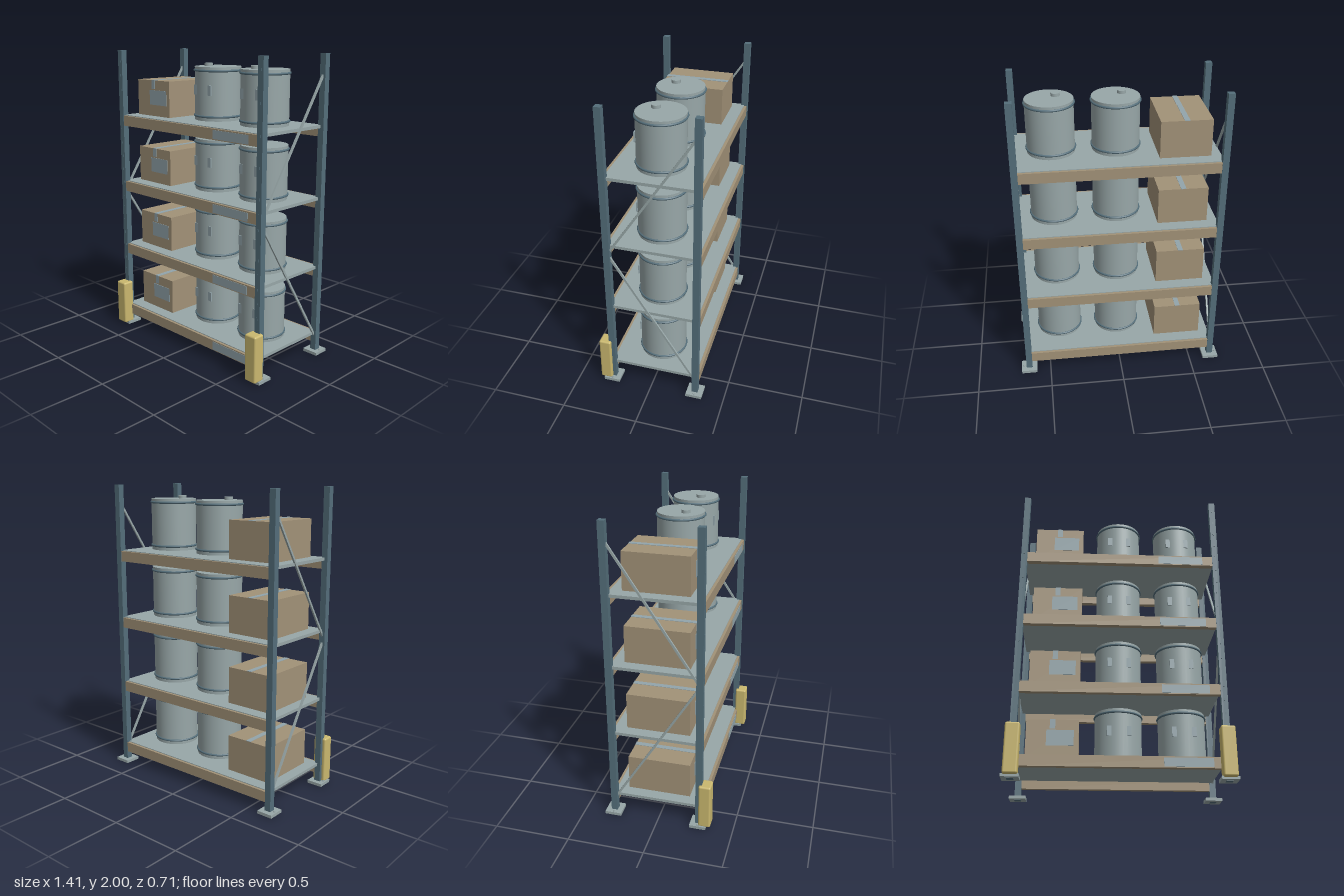
import * as THREE from 'three';
import { RoundedBoxGeometry } from 'three/addons/geometries/RoundedBoxGeometry.js';

const mat = (name, color) => new THREE.MeshStandardMaterial({ name, color });

export function createModel() {
  const steelBlue = mat('steel blue', 0x546e7a);
  const paleSteel = mat('pale steel', 0x98a7a8);
  const cardboard = mat('cardboard tan', 0xa29278);
  const labelGrey = mat('label grey', 0x93a5ab);
  const guardYellow = mat('guard yellow', 0xcab86f);

  const model = new THREE.Group();
  model.name = 'storageRack';

  const add = (parent, name, geometry, material, x, y, z) => {
    const mesh = new THREE.Mesh(geometry, material);
    mesh.name = name;
    mesh.position.set(x, y, z);
    parent.add(mesh);
    return mesh;
  };
  const box = (w, h, d) => new THREE.BoxGeometry(w, h, d);
  const cyl = (r, h, n = 40) => new THREE.CylinderGeometry(r, r, h, n);

  const postX = 0.649, frontZ = 0.272, backZ = -0.302, midZ = -0.015;
  const depth = frontZ - backZ;

  // Diagonal bar between two (y, z) points on a side frame
  const brace = (parent, x, y0, z0, y1, z1) => {
    const dy = y1 - y0, dz = z1 - z0;
    const bar = add(parent, 'brace', box(0.012, Math.hypot(dy, dz), 0.014), paleSteel,
      x, (y0 + y1) / 2, (z0 + z1) / 2);
    bar.rotation.x = Math.atan2(dz, dy);
  };

  // Side frames: posts, feet, braces and front guards
  for (const side of [-1, 1]) {
    const frame = new THREE.Group();
    frame.name = side > 0 ? 'leftFrame' : 'rightFrame';
    model.add(frame);
    const x = side * postX;
    for (const z of [frontZ, backZ]) {
      add(frame, 'post', box(0.042, 2, 0.042), steelBlue, x, 1, z);
      add(frame, 'footPlate', box(0.108, 0.02, 0.108), paleSteel, x, 0.012, z);
      add(frame, 'anchorBolt', cyl(0.008, 0.006, 12), paleSteel, x + side * 0.038, 0.025, z);
    }
    // Row of slots up the front post
    for (let y = 0.42; y < 1.95; y += 0.094) {
      add(frame, 'postSlot', box(0.009, 0.016, 0.004), steelBlue, x, y, frontZ + 0.0215);
    }
    brace(frame, x, 1.02, frontZ, 1.89, backZ);
    brace(frame, x, 1.02, frontZ, 0.105, backZ);
    add(frame, 'postGuard', new RoundedBoxGeometry(0.09, 0.312, 0.08, 3, 0.012), guardYellow,
      side * 0.647, 0.171, 0.314);
  }

  // Carton with tape and a shipping label
  const addCarton = (parent) => {
    const carton = new THREE.Group();
    carton.name = 'carton';
    carton.position.set(-0.416, 0.004, midZ);
    parent.add(carton);
    add(carton, 'cartonBody', box(0.326, 0.242, 0.416), cardboard, 0, 0.121, 0);
    add(carton, 'topTape', box(0.034, 0.003, 0.418), labelGrey, 0, 0.243, 0);
    add(carton, 'frontTape', box(0.034, 0.06, 0.003), labelGrey, 0, 0.2145, 0.209);
    add(carton, 'cartonLabel', box(0.17, 0.1, 0.004), labelGrey, 0.048, 0.126, 0.209);
  };

  // Drum with two hoops, filler cap and front plate
  const addDrum = (parent, x) => {
    const drum = new THREE.Group();
    drum.name = 'drum';
    drum.position.set(x, 0.004, midZ);
    parent.add(drum);
    add(drum, 'drumBody', cyl(0.153, 0.346), paleSteel, 0, 0.173, 0);
    for (const y of [0.028, 0.322]) {
      const hoop = add(drum, 'drumHoop', new THREE.TorusGeometry(0.154, 0.0075, 8, 40), steelBlue, 0, y, 0);
      hoop.rotation.x = Math.PI / 2;
    }
    add(drum, 'fillerCap', cyl(0.029, 0.02, 20), paleSteel, -0.043, 0.356, 0.043);
    add(drum, 'drumPlate', box(0.156, 0.064, 0.008), labelGrey, 0, 0.198, 0.141);
  };

  // Four loaded shelves
  for (let i = 0; i < 4; i++) {
    const shelf = new THREE.Group();
    shelf.name = 'shelf' + (i + 1);
    shelf.position.y = 0.15 + i * 0.469;
    model.add(shelf);
    add(shelf, 'deck', box(1.296, 0.02, depth), paleSteel, 0, -0.01, midZ);
    for (const z of [frontZ, backZ]) {
      add(shelf, 'beam', box(1.26, 0.07, 0.036), cardboard, 0, -0.0395, z);
    }
    add(shelf, 'beamLabel', box(0.3, 0.056, 0.004), labelGrey, 0.41, -0.0405, frontZ + 0.0185);
    addCarton(shelf);
    addDrum(shelf, 0);
    addDrum(shelf, 0.413);
  }

  return model;
}
